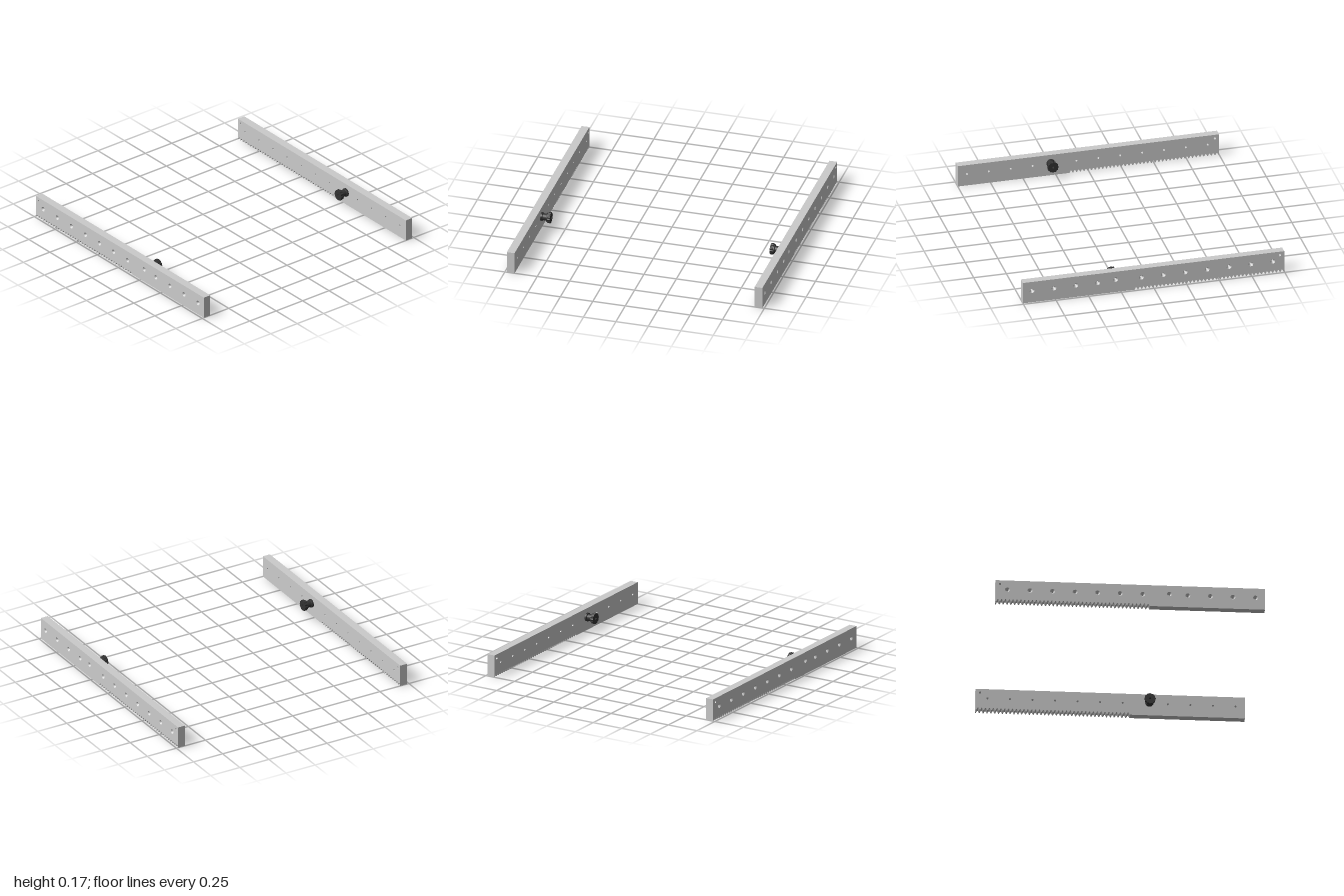
import * as THREE from 'three';

const X_IN = 0.925, X_OUT = 0.985, HEIGHT = 0.17, SINK = 0.014;
const KNOB = { z: 0.29, y: 0.103 };
const R_HOLE = 0.008, R_SINK = 0.018;

export function createModel() {
  const model = new THREE.Group();
  const grey = new THREE.MeshStandardMaterial({ color: 0xcccccc });
  const greyOpen = new THREE.MeshStandardMaterial({ color: 0xcccccc, side: THREE.DoubleSide });
  const dark = new THREE.MeshStandardMaterial({ color: 0x333333, side: THREE.DoubleSide });

  // Row of screw holes, one of them carrying the knob
  const holes = [{ z: KNOB.z, y: KNOB.y }];
  for (let i = 0; i < 12; i++) if (i !== 4) holes.push({ z: 0.93 - i * 0.1675, y: 0.095 });

  // Side outline (u = -z, v = y) with rack teeth along the bottom rear
  function railShape(holeRadius) {
    const s = new THREE.Shape();
    s.moveTo(-1, HEIGHT);
    s.lineTo(-1, 0);
    const start = -0.145, teeth = 40, pitch = (1 - start) / teeth, depth = 0.017;
    for (let i = 0; i < teeth; i++) {
      const u = start + i * pitch;
      s.lineTo(u, 0);
      s.lineTo(u + pitch * 0.3, depth);
      s.lineTo(u + pitch * 0.52, depth);
      s.lineTo(u + pitch * 0.82, 0);
    }
    s.lineTo(1, 0);
    s.lineTo(1, HEIGHT);
    s.closePath();
    const drill = (z, y, r) => s.holes.push(new THREE.Path().absarc(-z, y, r, 0, Math.PI * 2, true));
    holes.forEach(h => drill(h.z, h.y, holeRadius));
    drill(-0.967, 0.14, 0.009);
    return s;
  }

  function slab(holeRadius, x0, x1) {
    const g = new THREE.ExtrudeGeometry(railShape(holeRadius),
      { depth: x1 - x0, bevelEnabled: false, curveSegments: 10 });
    g.rotateY(Math.PI / 2);
    g.translate(x0, 0, 0);
    return new THREE.Mesh(g, grey);
  }

  function makeRail(side) {
    const rail = new THREE.Group();
    rail.name = side > 0 ? 'leftRail' : 'rightRail';
    const mid = X_OUT - SINK;
    const layer = (r, a, b) => side > 0 ? slab(r, a, b) : slab(r, -b, -a);
    const body = layer(R_HOLE, X_IN, mid);
    body.name = 'rackBody';
    const face = layer(R_SINK, mid, X_OUT);
    face.name = 'rackOuterFace';
    rail.add(body, face);

    // Conical countersinks on the outer face
    const cone = new THREE.CylinderGeometry(R_SINK, R_HOLE, SINK, 20, 1, true);
    cone.rotateZ(-side * Math.PI / 2);
    holes.forEach(h => {
      const m = new THREE.Mesh(cone, greyOpen);
      m.name = 'countersink';
      m.position.set(side * (X_OUT - SINK / 2), h.y, h.z);
      rail.add(m);
    });
    return rail;
  }

  // Knob: turned, hollow stem with a scalloped grip, pointing along +y
  function makeKnob() {
    const knob = new THREE.Group();
    knob.name = 'knob';
    const profile = [
      [R_HOLE, 0], [0.032, 0], [0.032, 0.013], [0.026, 0.016], [0.026, 0.044],
      [0.034, 0.047], [0.034, 0.056], [R_HOLE, 0.056], [R_HOLE, 0]
    ].map(p => new THREE.Vector2(p[0], p[1]));
    // Separate segments keep the turned edges sharp
    for (let i = 0; i < profile.length - 1; i++) {
      const stem = new THREE.Mesh(new THREE.LatheGeometry([profile[i], profile[i + 1]], 32), dark);
      stem.name = 'knobStem';
      knob.add(stem);
    }

    const pts = [];
    for (let i = 0; i < 96; i++) {
      const a = i / 96 * Math.PI * 2, r = 0.04 + 0.002 * Math.cos(a * 12);
      pts.push(new THREE.Vector2(Math.cos(a) * r, Math.sin(a) * r));
    }
    const outline = new THREE.Shape(pts);
    outline.holes.push(new THREE.Path().absarc(0, 0, R_HOLE, 0, Math.PI * 2, true));
    const g = new THREE.ExtrudeGeometry(outline, { depth: 0.022, bevelEnabled: false, curveSegments: 12 });
    g.rotateX(-Math.PI / 2);
    g.translate(0, 0.056, 0);
    const grip = new THREE.Mesh(g, dark);
    grip.name = 'knobGrip';
    knob.add(grip);
    return knob;
  }

  // Mirrored pair: rail with a knob on its inner face
  for (const side of [1, -1]) {
    model.add(makeRail(side));
    const knob = makeKnob();
    knob.rotation.z = side * Math.PI / 2;
    knob.position.set(side * X_IN, KNOB.y, KNOB.z);
    model.add(knob);
  }
  return model;
}
